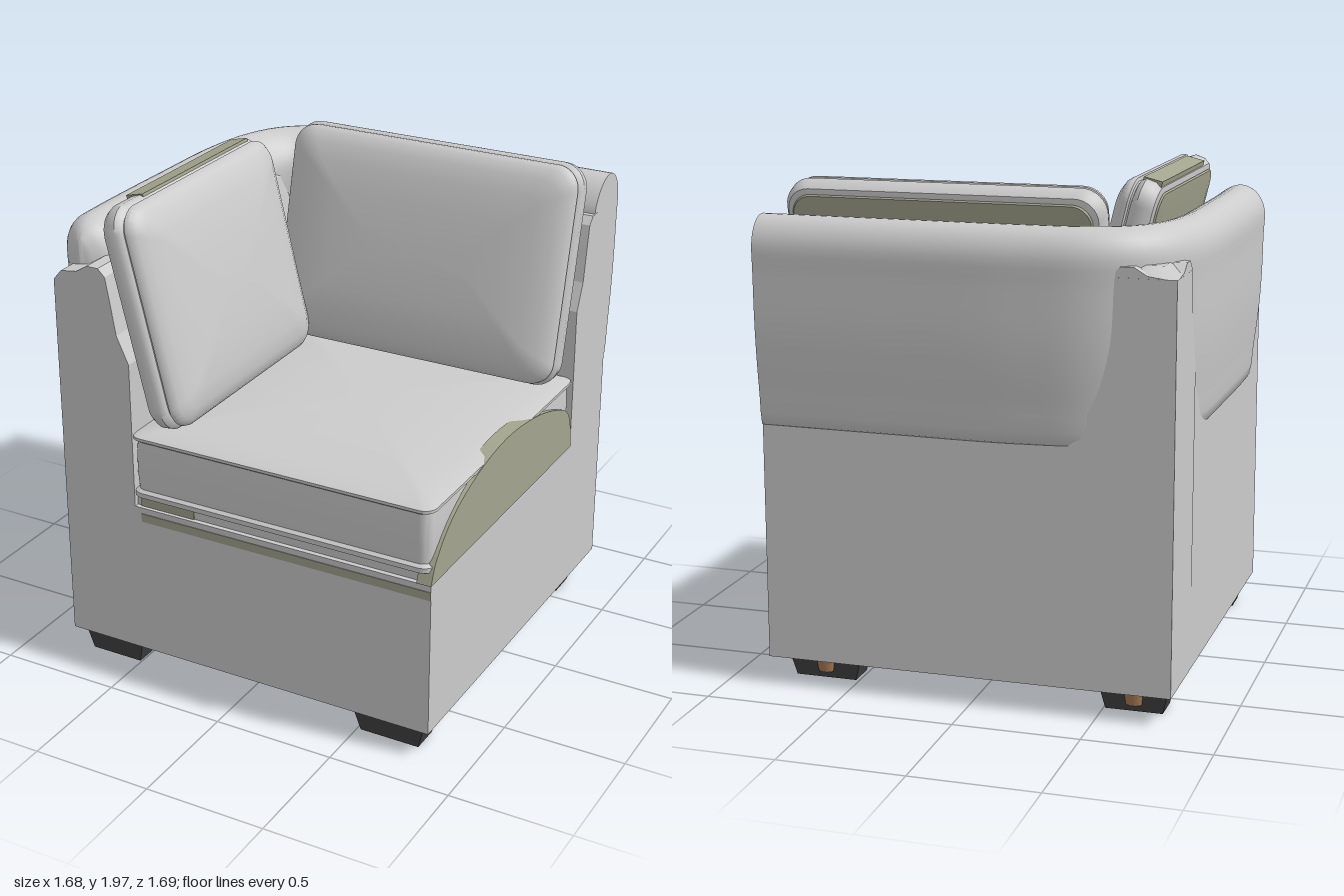
import * as THREE from 'three';
import { toCreasedNormals } from 'three/addons/utils/BufferGeometryUtils.js';

const mat = (color) => new THREE.MeshStandardMaterial({ color, side: THREE.DoubleSide });
const grey = mat(0xcccccc), olive = mat(0xa4a58f), dark = mat(0x404040), wood = mat(0xa87c58);
const V2 = (x, y) => new THREE.Vector2(x, y);

function add(parent, name, geometry, material, x = 0, y = 0, z = 0) {
  const m = new THREE.Mesh(geometry, material);
  m.name = name;
  m.position.set(x, y, z);
  parent.add(m);
  return m;
}

// Box given by its limits
function slab(parent, name, x0, x1, y0, y1, z0, z1, material = grey) {
  return add(parent, name, new THREE.BoxGeometry(x1 - x0, y1 - y0, z1 - z0), material,
    (x0 + x1) / 2, (y0 + y1) / 2, (z0 + z1) / 2);
}

// Skin over equal-length rings of Vector3, closed at both ends
function loft(rings, crease = 0.7) {
  const n = rings[0].length, pos = [], idx = [];
  rings.forEach((r) => r.forEach((p) => pos.push(p.x, p.y, p.z)));
  for (let i = 0; i < rings.length - 1; i++) {
    for (let j = 0; j < n; j++) {
      const k = (j + 1) % n, a = i * n + j, b = i * n + k;
      idx.push(a, b, b + n, a, b + n, a + n);
    }
  }
  [0, rings.length - 1].forEach((i) => {
    const c = new THREE.Vector3();
    rings[i].forEach((p) => c.addScaledVector(p, 1 / n));
    const centre = pos.length / 3;
    pos.push(c.x, c.y, c.z);
    for (let j = 0; j < n; j++) {
      const a = i * n + j, b = i * n + (j + 1) % n;
      idx.push(centre, i ? a : b, i ? b : a);
    }
  });
  const g = new THREE.BufferGeometry();
  g.setAttribute('position', new THREE.Float32BufferAttribute(pos, 3));
  g.setIndex(idx);
  return toCreasedNormals(g, crease);
}

// Rounded rectangle ring at depth z
function ring(w, h, r, z, steps = 8) {
  const pts = [];
  for (let q = 0; q < 4; q++) {
    const sx = q === 0 || q === 3 ? 1 : -1, sy = q < 2 ? 1 : -1;
    for (let i = 0; i <= steps; i++) {
      const a = (q + i / steps) * Math.PI / 2;
      pts.push(new THREE.Vector3(sx * (w / 2 - r) + r * Math.cos(a), sy * (h / 2 - r) + r * Math.sin(a), z));
    }
  }
  return pts;
}

// Cushion from a list of [inset, depth] steps
const cushion = (w, h, r, steps) =>
  loft(steps.map(([i, z]) => ring(w - 2 * i, h - 2 * i, Math.max(r - i * 0.5, 0.02), z)));

// Leaning back pillow with a piped seam and a coloured rear panel
function pillow(name, w) {
  const g = new THREE.Group(), lean = new THREE.Group(), h = 0.9;
  g.name = name;
  lean.rotation.x = -0.24;
  g.add(lean);
  add(lean, 'pillowBody', cushion(w, h, 0.1, [
    [0.06, -0.095], [0.02, -0.085], [0.004, -0.06], [0, -0.02], [0.012, 0], [0.022, 0.005], [0.022, 0.012],
    [0.01, 0.018], [0.012, 0.035], [0.03, 0.055], [0.07, 0.075], [0.14, 0.09], [0.25, 0.1], [0.38, 0.105],
  ]), grey);
  add(lean, 'pillowBackPanel', cushion(w, h, 0.1, [[0.04, -0.093], [0.045, -0.1], [0.1, -0.105]]), olive);
  return g;
}

function extrude(points, depth) {
  return new THREE.ExtrudeGeometry(new THREE.Shape(points), { depth, bevelEnabled: false });
}

// Padded roll draped along the tops of the arm and the back
function rollGeometry() {
  const path = new THREE.CatmullRomCurve3([
    [-0.71, 0.75], [-0.72, 0.5], [-0.72, 0.1], [-0.71, -0.3], [-0.67, -0.5],
    [-0.59, -0.63], [-0.46, -0.7], [-0.2, -0.725], [0.3, -0.725], [0.83, -0.72],
  ].map(([x, z]) => new THREE.Vector3(x, 0, z)));
  const section = new THREE.CatmullRomCurve3([
    [-0.09, 1.2], [0.06, 1.04], [0.09, 1.2], [0.112, 1.42], [0.118, 1.65], [0.118, 1.77],
    [0.08, 1.835], [0.02, 1.86], [-0.05, 1.835], [-0.11, 1.76], [-0.12, 1.68], [-0.1, 1.45],
  ].map(([u, y]) => new THREE.Vector3(u, y, 0)), true).getPoints(40).slice(0, -1);
  const rings = [], N = 70;
  for (let i = 0; i <= N; i++) {
    const t = (i / N) ** 1.3, p = path.getPointAt(t), d = path.getTangentAt(t);
    const e = Math.min(1, t * path.getLength() / 0.13);
    const s = Math.max(0.25, Math.sqrt(1 - (1 - e) ** 2));
    rings.push(section.map((q) => new THREE.Vector3(
      p.x + d.z * q.x * s, 1.45 + (q.y - 1.45) * (0.75 + 0.25 * s), p.z - d.x * q.x * s)));
  }
  return loft(rings, 0.9);
}

export function createModel() {
  const model = new THREE.Group();
  model.name = 'cornerSofaSeat';

  // Arm and back panels share one profile
  const profile = [[-0.79, 0.11], [-0.46, 0.11], [-0.46, 1.36], [-0.51, 1.47], [-0.535, 1.62], [-0.55, 1.7],
    [-0.58, 1.73], [-0.63, 1.73], [-0.68, 1.7], [-0.75, 1.69], [-0.785, 1.65]].map((p) => V2(...p));
  add(model, 'armPanel', extrude(profile, 1.62), grey, 0, 0, -0.79);
  add(model, 'backPanel', extrude(profile, 1.62), grey, 0.83, 0, 0).rotation.y = -Math.PI / 2;

  // Corner post with a shallow pyramid cap
  slab(model, 'cornerPost', -0.79, -0.55, 0.11, 1.69, -0.79, -0.55);
  const cap = new THREE.CylinderGeometry(0.085, 0.17, 0.04, 4).rotateY(Math.PI / 4);
  add(model, 'cornerPostCap', cap, grey, -0.67, 1.71, -0.67);

  add(model, 'paddedRoll', rollGeometry(), grey);

  // Seat base, recessed deck and coloured trim
  slab(model, 'seatBase', -0.46, 0.83, 0.11, 0.755, -0.46, 0.83);
  slab(model, 'seatDeck', -0.46, 0.82, 0.75, 0.82, -0.46, 0.81);
  slab(model, 'frontTrim', -0.43, 0.83, 0.695, 0.73, 0.8, 0.833, olive);
  slab(model, 'deckTrim', -0.44, -0.2, 0.755, 0.79, 0.78, 0.815, olive);

  // Seat cushion with piping at both edges
  const seat = add(model, 'seatCushion', cushion(1.3, 1.31, 0.05, [
    [0.02, 0.8], [0, 0.805], [0, 0.825], [0.014, 0.835], [0.01, 0.9], [0.01, 0.98], [0.014, 1.04],
    [0, 1.05], [0, 1.062], [0.02, 1.07], [0.1, 1.082], [0.22, 1.096], [0.36, 1.105], [0.5, 1.11],
  ]), grey, 0.18, 0, 0.185);
  seat.rotation.x = -Math.PI / 2;

  // Arched side panel of the seat
  const arch = new THREE.SplineCurve([[0.84, 0.76], [0.79, 0.86], [0.66, 0.97], [0.45, 1.05], [0.2, 1.085],
    [-0.06, 1.06], [-0.28, 1.0], [-0.42, 0.92], [-0.46, 0.76]].map((p) => V2(...p)));
  add(model, 'seatSideArch', extrude(arch.getPoints(32), 0.06), olive, 0.834, 0, 0).rotation.y = -Math.PI / 2;

  // Loose pillows
  const backPillow = pillow('backPillow', 1.28);
  backPillow.position.set(0.19, 1.535, -0.365);
  const armPillow = pillow('armPillow', 1.05);
  armPillow.position.set(-0.39, 1.535, 0.305);
  armPillow.rotation.y = Math.PI / 2;
  slab(armPillow.children[0], 'pillowTopStrip', -0.32, 0.44, 0.4, 0.453, -0.082, -0.005, olive);
  model.add(backPillow, armPillow);

  // Tapered block feet with small wooden pegs
  for (const x of [-0.62, 0.64]) {
    for (const z of [0.72, -0.61]) {
      const foot = new THREE.CylinderGeometry(Math.SQRT1_2, 0.57, 0.11, 4).rotateY(Math.PI / 4);
      foot.scale(x < 0 ? 0.28 : 0.31, 1, 0.145);
      add(model, 'foot', toCreasedNormals(foot, 0.3), dark, x, 0.055, z);
      const pegs = z > 0 ? [[-0.03, 0.51], [0.03, 0.63]] : [[0, -0.545], [0, -0.655]];
      for (const [dx, pz] of pegs) {
        add(model, 'peg', new THREE.CylinderGeometry(0.05, 0.036, 0.085, 20), wood, x + dx, 0.07, pz);
      }
    }
  }
  return model;
}
